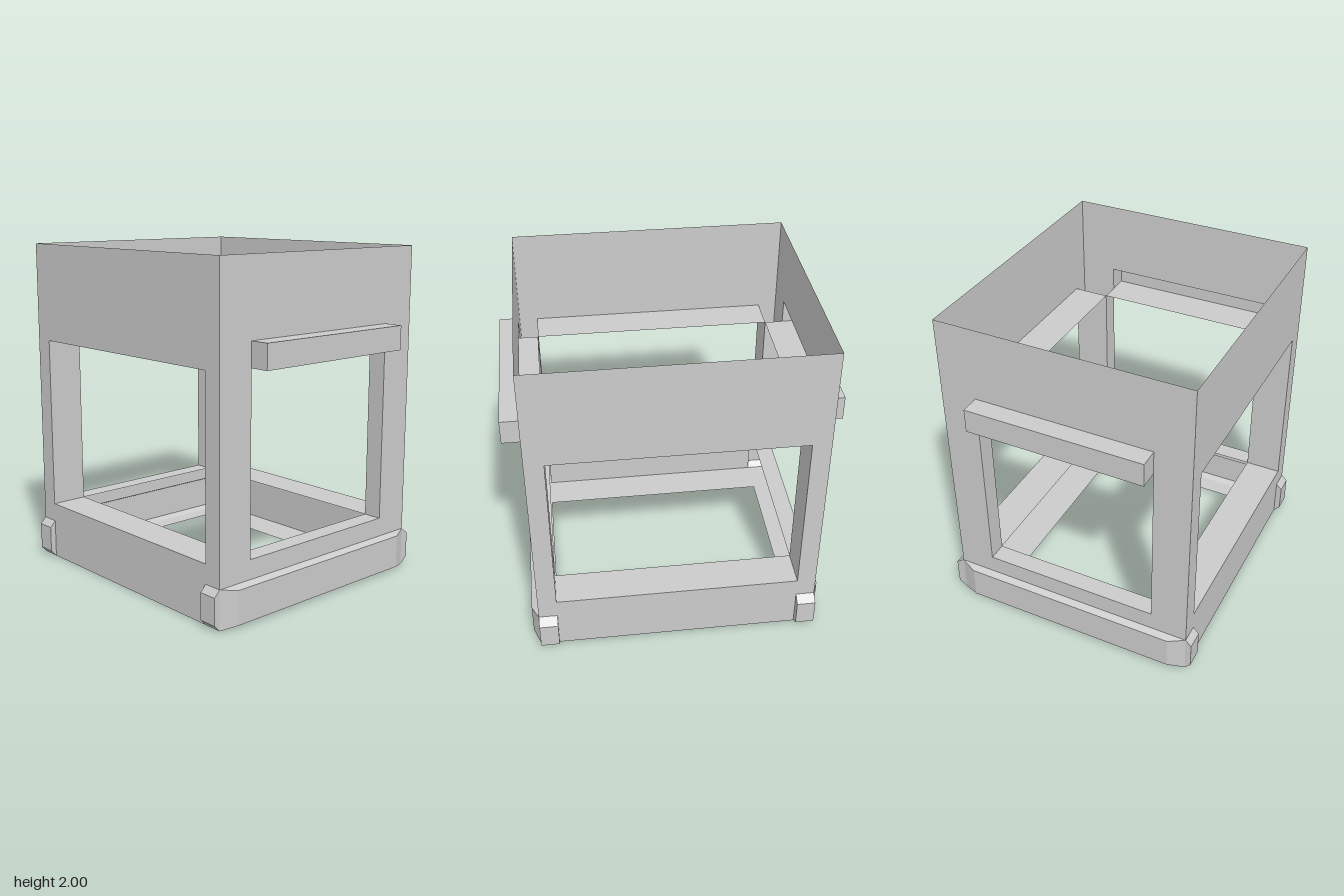
import * as THREE from 'three';
import { mergeGeometries } from 'three/addons/utils/BufferGeometryUtils.js';

const material = new THREE.MeshStandardMaterial({ color: 0xcccccc, flatShading: true, side: THREE.DoubleSide });

// Half sizes of the shell and its openings
const HX = 0.77, HZ = 0.851, IX = 0.545, IZ = 0.7375;
const SILL = 0.35, LINTEL = 1.405, HOOD = 1.55, TOP = 2, BUMPER = 0.235, HOOD_Z = 0.968;

// Thin sheet through four corners
function quad(a, b, c, d) {
  const g = new THREE.BufferGeometry();
  g.setAttribute('position', new THREE.Float32BufferAttribute([a, b, c, a, c, d].flat(), 3));
  g.computeVertexNormals();
  return g;
}

// Horizontal sheet facing up
function shelf(x0, x1, z0, z1, y) {
  return quad([x0, y, z1], [x1, y, z1], [x1, y, z0], [x0, y, z0]);
}

// Upright sheet facing +x, or +z
const sheetX = (x, z0, z1, y0, y1) => quad([x, y0, z1], [x, y0, z0], [x, y1, z0], [x, y1, z1]);
const sheetZ = (z, x0, x1, y0, y1) => quad([x0, y0, z], [x1, y0, z], [x1, y1, z], [x0, y1, z]);

// Hollow tapered panel: base rectangle at z0, smaller face at z1; each is [x0, x1, y0, y1]
function taperedPanel(base, face, z0, z1) {
  const ring = ([x0, x1, y0, y1], z) => [[x0, y0, z], [x1, y0, z], [x1, y1, z], [x0, y1, z]];
  const b = ring(base, z0), f = ring(face, z1);
  const parts = [quad(...f)];
  for (let i = 0; i < 4; i++) {
    const j = (i + 1) % 4;
    parts.push(quad(b[i], b[j], f[j], f[i]));
  }
  return mergeGeometries(parts);
}

// Flat wall from an outline with a rectangular window, facing +z
function wall(outline, halfWidth, y0, y1) {
  const shape = new THREE.Shape(outline.map(p => new THREE.Vector2(...p)));
  const hole = [[-halfWidth, y0], [-halfWidth, y1], [halfWidth, y1], [halfWidth, y0]];
  shape.holes.push(new THREE.Path(hole.map(p => new THREE.Vector2(...p))));
  const g = new THREE.ShapeGeometry(shape).toNonIndexed();
  g.deleteAttribute('uv');
  return g;
}

function add(group, name, ...parts) {
  const mesh = new THREE.Mesh(parts.length > 1 ? mergeGeometries(parts) : parts[0], material);
  mesh.name = name;
  group.add(mesh);
  return mesh;
}

// Front or back: wall, window lining, hood and bumper
function endAssembly(name) {
  const g = new THREE.Group();
  g.name = name;
  const outline = [[-HX, BUMPER], [HX, BUMPER], [HX, TOP], [-HX, TOP]];
  add(g, 'endWall', wall(outline, IX, SILL, HOOD)).position.z = HZ;
  add(g, 'endWindowLining',
    shelf(-IX, IX, IZ, HZ, SILL),
    shelf(-IX, IX, IZ, HZ, LINTEL),
    sheetX(-IX, IZ, HZ, SILL, LINTEL),
    sheetX(IX, IZ, HZ, SILL, LINTEL));
  add(g, 'hood',
    shelf(-IX, IX, HZ, HOOD_Z, LINTEL),
    shelf(-IX, IX, HZ, HOOD_Z, HOOD),
    sheetZ(HOOD_Z, -IX, IX, LINTEL, HOOD),
    sheetX(-IX, HZ, HOOD_Z, LINTEL, HOOD),
    sheetX(IX, HZ, HOOD_Z, LINTEL, HOOD));
  add(g, 'bumper', taperedPanel([-HX, HX, 0, BUMPER], [-0.67, 0.67, 0.017, 0.218], HZ, 0.893));
  return g;
}

// Side, built facing +z and then turned: wall, window lining and bumper ends
function sideAssembly(name, stubDepth) {
  const g = new THREE.Group();
  g.name = name;
  const outline = [[-IZ, 0], [IZ, 0], [IZ, BUMPER], [HZ, BUMPER], [HZ, TOP],
    [-HZ, TOP], [-HZ, BUMPER], [-IZ, BUMPER]];
  add(g, 'sideWall', wall(outline, IZ, SILL, LINTEL)).position.z = HX;
  add(g, 'sideWindowLining',
    shelf(-IZ, IZ, IX, HX, SILL),
    shelf(-IZ, IZ, IX, HX, LINTEL),
    sheetX(-IZ, IX, HX, SILL, LINTEL),
    sheetX(IZ, IX, HX, SILL, LINTEL));
  for (const [a, b] of [[-HZ, -IZ], [IZ, HZ]]) {
    add(g, 'bumperEnd', taperedPanel([a, b, 0, BUMPER], [a, b, 0.038, 0.197], HX, HX + stubDepth));
  }
  return g;
}

export function createModel() {
  const model = new THREE.Group();
  model.name = 'openFrame';

  const front = endAssembly('front');
  const back = endAssembly('back');
  back.rotation.y = Math.PI;
  const left = sideAssembly('leftSide', 0.052);
  left.rotation.y = Math.PI / 2;
  const right = sideAssembly('rightSide', 0.036);
  right.rotation.y = -Math.PI / 2;
  model.add(front, back, left, right);

  // Floor rim around the open bottom
  add(model, 'floorRim',
    shelf(-HX, HX, IZ, HZ, 0),
    shelf(-HX, HX, -HZ, -IZ, 0),
    shelf(-HX, -IX, -IZ, IZ, 0),
    shelf(IX, HX, -IZ, IZ, 0));

  // The shell sits slightly off centre between the uneven bumper ends
  for (const part of model.children) part.position.x = -0.01;
  return model;
}
